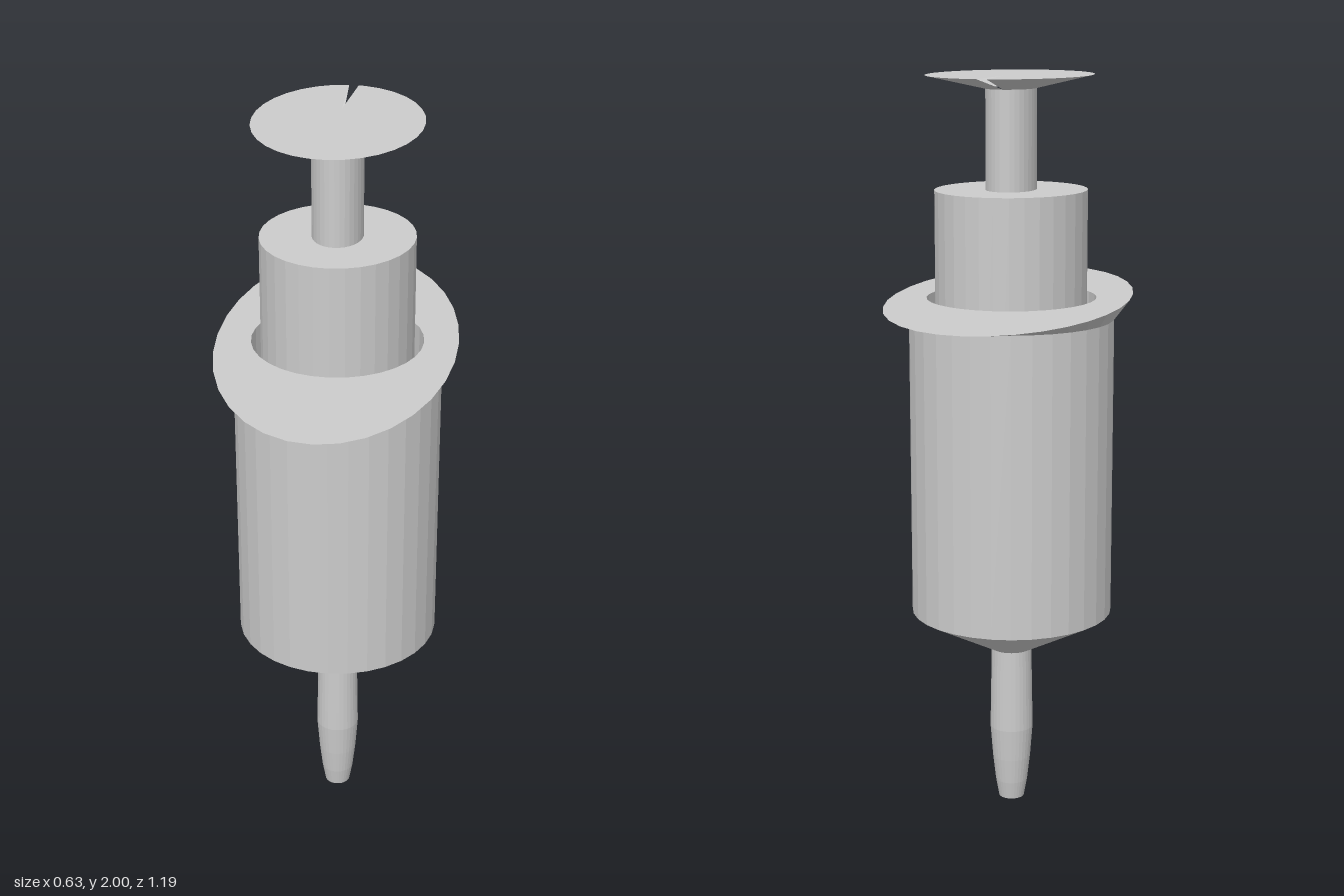
import * as THREE from 'three';

const SEGMENTS = 32;

// Skins a stack of elliptical rings [y, rx, rz, gap]; gap opens a slit at the back.
function loft(name, rings, material, cz = 0) {
  const positions = [], index = [];
  const row = SEGMENTS + 1;
  rings.forEach(([y, rx, rz = rx, gap = 0], j) => {
    for (let i = 0; i <= SEGMENTS; i++) {
      const a = Math.max(gap, (i / SEGMENTS) * Math.PI * 2);
      positions.push(rx * Math.sin(a), y, cz - rz * Math.cos(a));
      if (j === 0 || i === SEGMENTS) continue;
      const p = (j - 1) * row + i, q = p + row;
      index.push(p, q, p + 1, p + 1, q, q + 1);
    }
  });
  const geometry = new THREE.BufferGeometry();
  geometry.setAttribute('position', new THREE.Float32BufferAttribute(positions, 3));
  geometry.setIndex(index);
  geometry.computeVertexNormals();
  const mesh = new THREE.Mesh(geometry, material);
  mesh.name = name;
  return mesh;
}

export function createModel() {
  const group = new THREE.Group();
  group.name = 'syringe';
  const grey = new THREE.MeshStandardMaterial({ color: 0xcccccc, flatShading: true });
  const thin = new THREE.MeshStandardMaterial({ color: 0xcccccc, flatShading: true, side: THREE.DoubleSide });

  // Nozzle with a tapered tip, closed at the bottom
  group.add(loft('nozzle', [
    [0, 0], [0, 0.035], [0.05, 0.044], [0.12, 0.052], [0.21, 0.059], [0.27, 0.058], [0.44, 0.055],
  ], grey));

  // Hollow barrel: shoulder cone, wall, oval finger flange and bore
  group.add(loft('barrel', [
    [0.44, 0.055], [0.555, 0.273], [1.365, 0.273],
    [1.42, 0.315, 0.595], [1.42, 0.225, 0.235], [0.6, 0.225, 0.235], [0.6, 0],
  ], grey));

  // Plunger body sliding in the bore
  group.add(loft('plunger', [
    [0.62, 0], [0.62, 0.2, 0.225], [1.705, 0.2, 0.225], [1.705, 0],
  ], grey, -0.005));

  // Plunger rod
  group.add(loft('plungerRod', [[1.705, 0.066, 0.09], [1.965, 0.066, 0.09]], grey, -0.005));

  // Oval thumb rest, dished underneath, with a narrow slit at the back
  group.add(loft('thumbRest', [
    [1.965, 0.066, 0.09], [2, 0.216, 0.295, 0.115], [2, 0.066, 0.09], [2, 0],
  ], thin, -0.015));

  return group;
}
